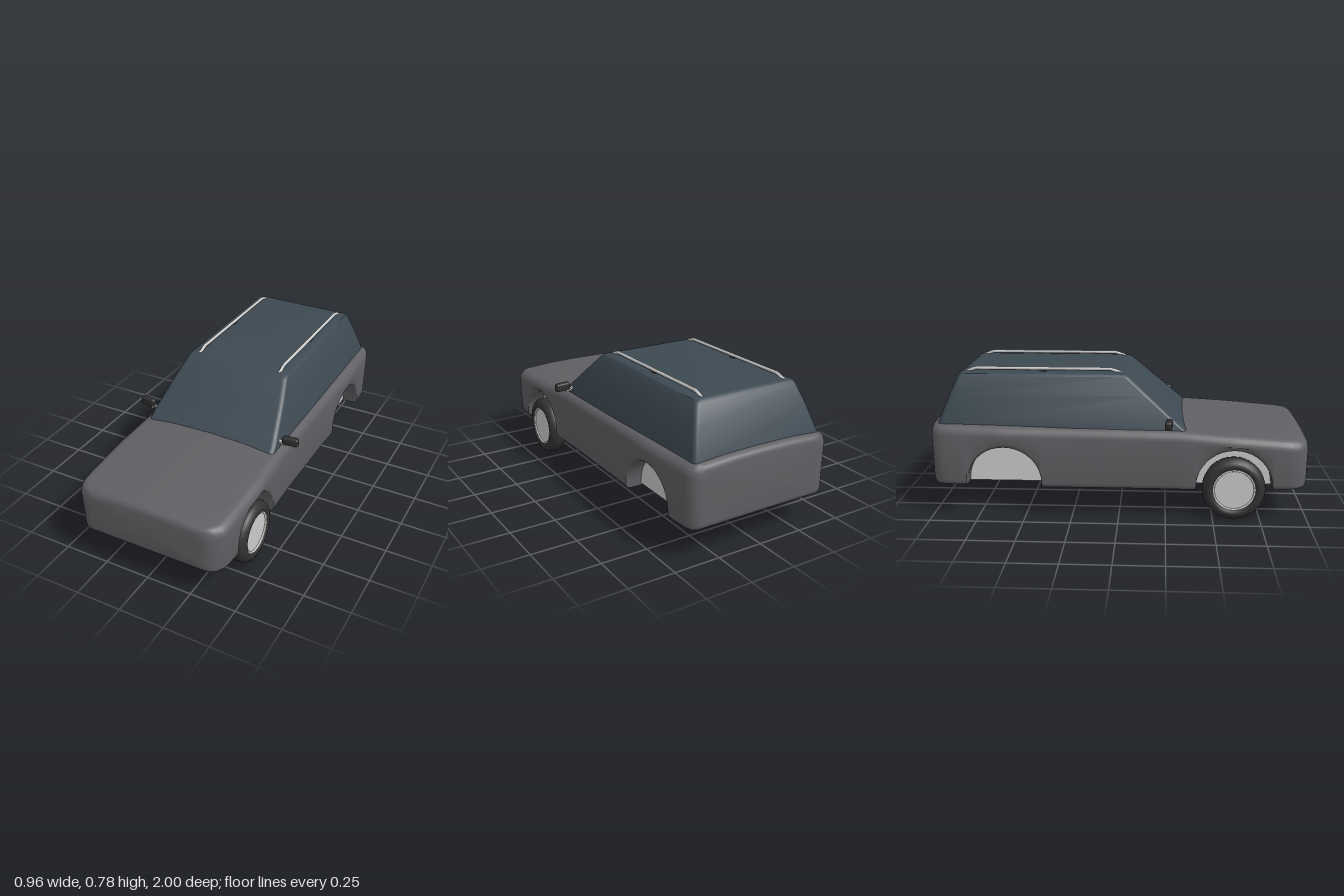
import * as THREE from 'three';
import { toCreasedNormals } from 'three/addons/utils/BufferGeometryUtils.js';
import { RoundedBoxGeometry } from 'three/addons/geometries/RoundedBoxGeometry.js';

const mat = (color, extra = {}) => new THREE.MeshStandardMaterial({ color, ...extra });
const paint = mat(0x606064), glass = mat(0x3d4952), rubber = mat(0x333333);
const darkTrim = mat(0x2e2e2e), grey = mat(0xcccccc);
const panelGrey = mat(0xc0c0c4, { side: THREE.DoubleSide });

const ARCH_Z = [0.61, -0.61], ARCH_R = 0.2, ARCH_Y = 0.18;

function add(parent, name, geometry, material) {
  const mesh = new THREE.Mesh(geometry, material);
  mesh.name = name;
  parent.add(mesh);
  return mesh;
}

// Skin a row of equal closed rings and cap both ends with a fan.
function loft(rings, crease) {
  const pos = [], index = [], n = rings[0].length, last = rings.length - 1;
  rings.forEach(r => r.forEach(p => pos.push(...p)));
  for (let i = 0; i < last; i++) {
    for (let j = 0; j < n; j++) {
      const k = (j + 1) % n, a = i * n + j, b = i * n + k;
      index.push(a, a + n, b, b, a + n, b + n);
    }
  }
  [0, last].forEach(i => {
    const c = pos.length / 3;
    for (let d = 0; d < 3; d++) pos.push(rings[i].reduce((s, p) => s + p[d], 0) / n);
    for (let j = 0; j < n; j++) {
      const a = i * n + j, b = i * n + (j + 1) % n;
      index.push(c, ...(i === 0 ? [a, b] : [b, a]));
    }
  });
  const g = new THREE.BufferGeometry();
  g.setAttribute('position', new THREE.Float32BufferAttribute(pos, 3));
  g.setIndex(index);
  return toCreasedNormals(g, crease);
}

// Linear interpolation through [z, value] pairs of falling z.
function along(table, z) {
  for (let i = 1; i < table.length; i++) {
    const [z0, v0] = table[i - 1], [z1, v1] = table[i];
    if (z >= z1) return THREE.MathUtils.lerp(v0, v1, Math.min(1, Math.max(0, (z0 - z) / (z0 - z1))));
  }
  return table[table.length - 1][1];
}

const roundOff = (e, r) => (e >= r ? 0 : r - Math.sqrt(r * r - (r - e) ** 2));

// One rounded body section; inside a wheel arch its underside rises.
function bodySection(z) {
  const end = 1 - Math.abs(z);
  const w = along([[1, 0.415], [0.85, 0.424], [0.6, 0.43], [0.25, 0.416], [-0.3, 0.416],
    [-0.62, 0.43], [-0.85, 0.423], [-1, 0.412]], z) - roundOff(end, z > 0 ? 0.1 : 0.065);
  const soft = roundOff(end, 0.035);
  const top = along([[1, 0.442], [0.95, 0.446], [0.6, 0.472], [0.3, 0.492], [-0.3, 0.5], [-1, 0.515]], z) - soft;
  let bottom = (Math.abs(z) < 0.6 ? 0.16 : 0.17) + soft;
  for (const c of ARCH_Z) {
    const d = Math.abs(z - c);
    if (d < ARCH_R + 0.0005) bottom = ARCH_Y + Math.sqrt(Math.max(0, ARCH_R ** 2 - d * d));
  }
  const half = [[w * 0.5, bottom]], lip = 0.025, shoulder = 0.055;
  for (let i = 0; i <= 4; i++) {
    const a = (i / 4) * Math.PI / 2;
    half.push([w - 0.006 - lip + lip * Math.sin(a), bottom + lip - lip * Math.cos(a)]);
  }
  for (let i = 0; i <= 6; i++) {
    const a = (i / 6) * Math.PI / 2;
    half.push([w - shoulder + shoulder * Math.cos(a), top - 0.012 - shoulder + shoulder * Math.sin(a)]);
  }
  half.push([w * 0.5, top - 0.003]);
  const right = half.map(([x, y]) => [x, y, z]);
  const left = half.map(([x, y]) => [-x, y, z]).reverse();
  return [[0, bottom, z], ...right, [0, top, z], ...left];
}

function bodyGeometry() {
  const zs = [0.3, 0.15, 0, -0.15, -0.3];
  for (const s of [1, -1]) {
    for (const z of [1, 0.998, 0.992, 0.982, 0.965, 0.935, 0.9, 0.85, 0.812, 0.408]) zs.push(s * z);
    for (let i = 0; i <= 20; i++) zs.push(s * 0.61 + ARCH_R * Math.cos(i / 20 * Math.PI));
  }
  return loft(zs.sort((a, b) => b - a).map(bodySection), 0.7);
}

// Horizontal rounded rectangle for the cabin.
function cabinRing([y, front, rear, w], r = 0.025) {
  const ring = [];
  [[1, rear + r], [-1, rear + r], [-1, front - r], [1, front - r]].forEach(([s, z], q) => {
    for (let i = 0; i <= 4; i++) {
      const a = (q + i / 4) * Math.PI / 2;
      ring.push([s * (w - r) + r * Math.cos(a), y, z - r * Math.sin(a)]);
    }
  });
  return ring;
}

function buildWheel(side) {
  const wheel = new THREE.Group();
  wheel.name = side > 0 ? 'frontLeftWheel' : 'frontRightWheel';
  const profile = [[0.108, -0.036], [0.118, -0.048], [0.135, -0.05], [0.15, -0.046], [0.163, -0.034], [0.167, -0.015],
    [0.167, 0.015], [0.163, 0.03], [0.148, 0.044], [0.133, 0.05], [0.118, 0.048], [0.108, 0.036]]
    .map(p => new THREE.Vector2(...p));
  add(wheel, 'tire', new THREE.LatheGeometry(profile, 32), rubber);
  add(wheel, 'hub', new THREE.CylinderGeometry(0.11, 0.11, 0.072, 32), grey);
  for (const s of [1, -1]) {
    const rim = add(wheel, 'rim', new THREE.TorusGeometry(0.109, 0.006, 8, 32), grey);
    rim.rotation.x = Math.PI / 2;
    rim.position.y = s * 0.038;
  }
  wheel.rotation.z = -side * Math.PI / 2;
  wheel.position.set(side * 0.378, 0.168, ARCH_Z[0]);
  return wheel;
}

function buildMirror(side) {
  const mirror = new THREE.Group();
  mirror.name = side > 0 ? 'leftMirror' : 'rightMirror';
  const shell = add(mirror, 'mirrorShell', new RoundedBoxGeometry(0.088, 0.046, 0.036, 3, 0.012), darkTrim);
  shell.position.set(side * 0.435, 0.525, 0.262);
  shell.rotation.y = side * 0.1;
  const arm = add(mirror, 'mirrorArm', new THREE.BoxGeometry(0.06, 0.012, 0.018), grey);
  arm.position.set(side * 0.385, 0.506, 0.264);
  arm.rotation.z = -side * 0.3;
  return mirror;
}

export function createModel() {
  const car = new THREE.Group();
  car.name = 'stationWagon';
  add(car, 'body', bodyGeometry(), paint);

  // Cabin levels from roof to base: height, front z, rear z, half width
  const levels = [[0.764, -0.03, -0.79, 0.2], [0.761, 0.015, -0.835, 0.27], [0.755, 0.035, -0.85, 0.293],
    [0.744, 0.052, -0.86, 0.302], [0.65, 0.157, -0.902, 0.334], [0.5, 0.328, -0.962, 0.376],
    [0.46, 0.372, -0.97, 0.38]];
  add(car, 'cabin', loft(levels.map(l => cabinRing(l)), 0.5), glass);

  // Flat panels closing the wheel wells on the inside
  const start = -Math.asin((ARCH_Y - 0.172) / ARCH_R);
  const arch = new THREE.Shape();
  arch.absarc(0, 0, ARCH_R, start, Math.PI - start, false);
  for (const z of ARCH_Z) {
    for (const side of [1, -1]) {
      const panel = add(car, 'wheelWellPanel', new THREE.ShapeGeometry(arch, 24), panelGrey);
      panel.rotation.y = side * Math.PI / 2;
      panel.position.set(side * 0.325, ARCH_Y, z);
    }
  }

  for (const side of [1, -1]) {
    car.add(buildWheel(side), buildMirror(side));

    // Roof rail with sloping ends and a middle foot
    const path = new THREE.CurvePath();
    const pts = [[0.755, 0.01], [0.776, -0.045], [0.776, -0.775], [0.755, -0.825]]
      .map(([y, z]) => new THREE.Vector3(side * 0.245, y, z));
    for (let i = 1; i < pts.length; i++) path.add(new THREE.LineCurve3(pts[i - 1], pts[i]));
    add(car, 'roofRail', new THREE.TubeGeometry(path, 40, 0.009, 8), grey);
    const foot = add(car, 'railFoot', new THREE.BoxGeometry(0.014, 0.022, 0.035), darkTrim);
    foot.position.set(side * 0.245, 0.763, -0.41);
  }
  return car;
}
